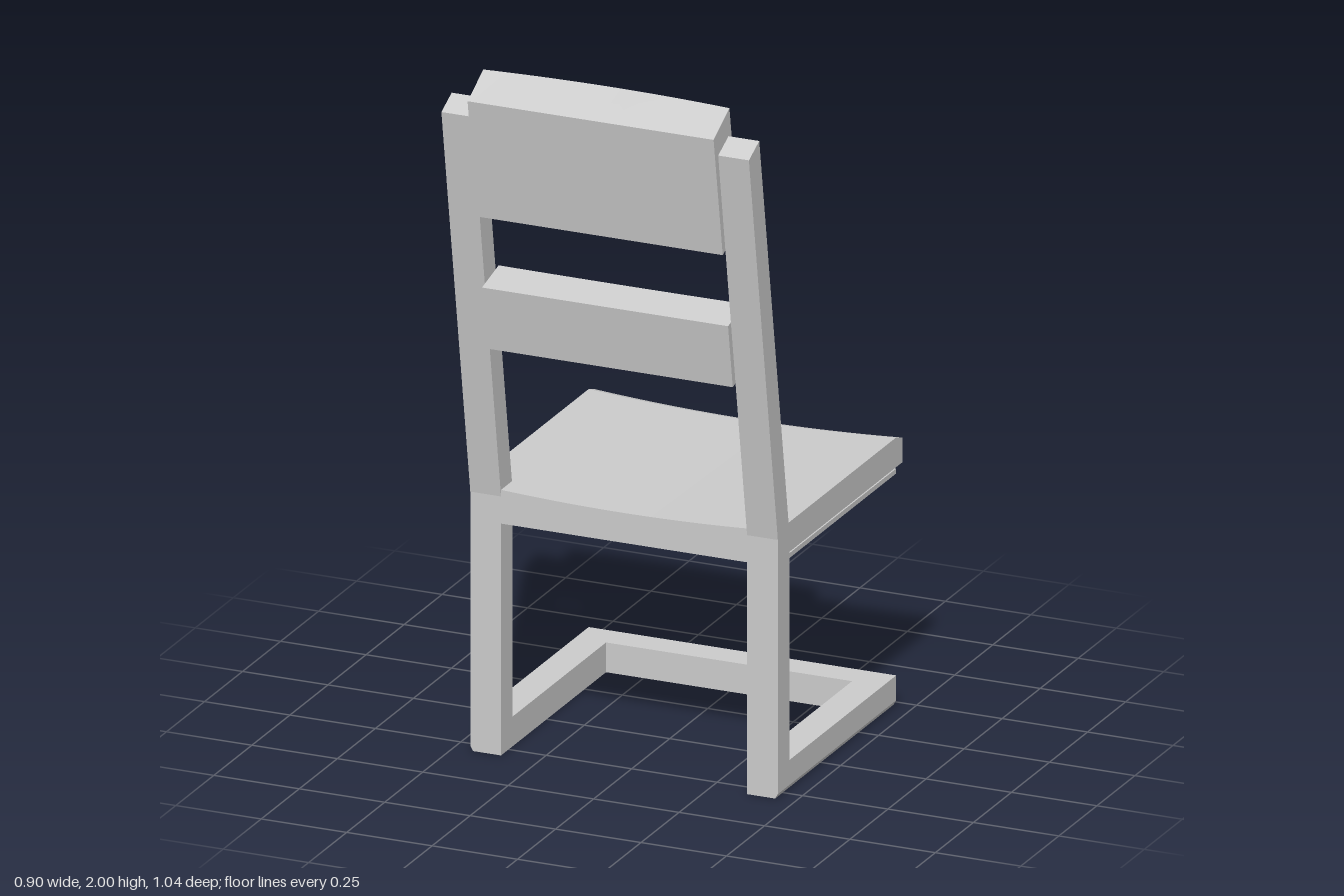
import * as THREE from 'three';
import { toCreasedNormals } from 'three/addons/utils/BufferGeometryUtils.js';

const material = new THREE.MeshStandardMaterial({ color: 0xcccccc });
const POST_X = 0.36; // inner face of the posts
const HALF = 0.45;   // half of the overall width

function addMesh(parent, name, geometry) {
  const mesh = new THREE.Mesh(geometry, material);
  mesh.name = name;
  parent.add(mesh);
}

function addBox(parent, name, [x0, x1], [y0, y1], [z0, z1]) {
  const box = new THREE.BoxGeometry(x1 - x0, y1 - y0, z1 - z0);
  box.translate((x0 + x1) / 2, (y0 + y1) / 2, (z0 + z1) / 2);
  addMesh(parent, name, box);
}

// Extrudes a side profile of [z, y] points from x0 to x1
// bend(x, pointIsFront) -> [dy, dz] shapes the part across its width
function sweepX(profile, x0, x1, steps = 1, bend = null) {
  const shape = new THREE.Shape(profile.map(([z, y]) => new THREE.Vector2(z, y)));
  const geometry = new THREE.ExtrudeGeometry(shape, { depth: x1 - x0, steps, bevelEnabled: false });
  geometry.rotateY(-Math.PI / 2).translate(x1, 0, 0);
  if (!bend) return geometry;
  const p = geometry.attributes.position;
  for (let i = 0; i < p.count; i++) {
    const [dy, dz] = bend(p.getX(i), p.getY(i), p.getZ(i));
    p.setY(i, p.getY(i) + dy);
    p.setZ(i, p.getZ(i) + dz);
  }
  return toCreasedNormals(geometry, 0.2);
}

// Backrest rail whose sitter-side face bulges by the given amount
function addRail(parent, name, profile, bulge) {
  const middle = (y) => 0.40 + 0.168 * (y - 1.6); // tilted mid plane of the backrest
  addMesh(parent, name, sweepX(profile, -POST_X, POST_X, 14, (x, y, z) =>
    [0, z < middle(y) ? -bulge * (1 - (x / POST_X) ** 2) : 0]));
}

export function createModel() {
  const chair = new THREE.Group();
  chair.name = 'chair';

  // Dished seat slab with a sloping front lip
  const seatProfile = [[0.3, 0.68], [0.3, 0.765], [-0.478, 0.765], [-0.52, 0.75], [-0.52, 0.68]];
  addMesh(chair, 'seat', sweepX(seatProfile, -HALF, HALF, 16, (x) =>
    [-0.017 * (1 - (x / HALF) ** 2), 0]));
  // Thin flat panel under the seat
  addBox(chair, 'seatPanel', [-HALF, HALF], [0.662, 0.676], [-0.478, 0.225]);
  addBox(chair, 'seatPanelBack', [-POST_X, POST_X], [0.662, 0.676], [0.225, 0.299]);

  // Frame sides: floor runner, upright leg and tilted back post
  for (const side of [-1, 1]) {
    const frame = new THREE.Group();
    frame.name = side < 0 ? 'rightFrame' : 'leftFrame';
    const span = side < 0 ? [-HALF, -POST_X] : [POST_X, HALF];

    const runner = new THREE.Shape([
      [POST_X, 0], [HALF - 0.008, 0], [HALF, 0.014], [HALF, 0.085], [POST_X, 0.085],
    ].map(([x, y]) => new THREE.Vector2(side * x, y)));
    const runnerGeometry = new THREE.ExtrudeGeometry(runner, { depth: 0.778, bevelEnabled: false });
    addMesh(frame, 'runner', runnerGeometry.translate(0, 0, -0.478));

    addBox(frame, 'leg', span, [0.085, 0.684], [0.225, 0.3]);
    addMesh(frame, 'backPost', sweepX(
      [[0.3, 0.74], [0.49, 1.89], [0.422, 1.922], [0.225, 0.74]], ...span));
    chair.add(frame);
  }

  // Cross bar joining the runners on the floor
  addBox(chair, 'floorBar', [-POST_X, POST_X], [0, 0.085], [-0.478, -0.39]);

  // Backrest rails
  addRail(chair, 'topRail', [[0.46, 1.595], [0.52, 1.945], [0.416, 2.0], [0.352, 1.638]], 0.018);
  addRail(chair, 'lowerRail', [[0.394, 1.195], [0.425, 1.38], [0.316, 1.406], [0.284, 1.228]], -0.003);

  return chair;
}
